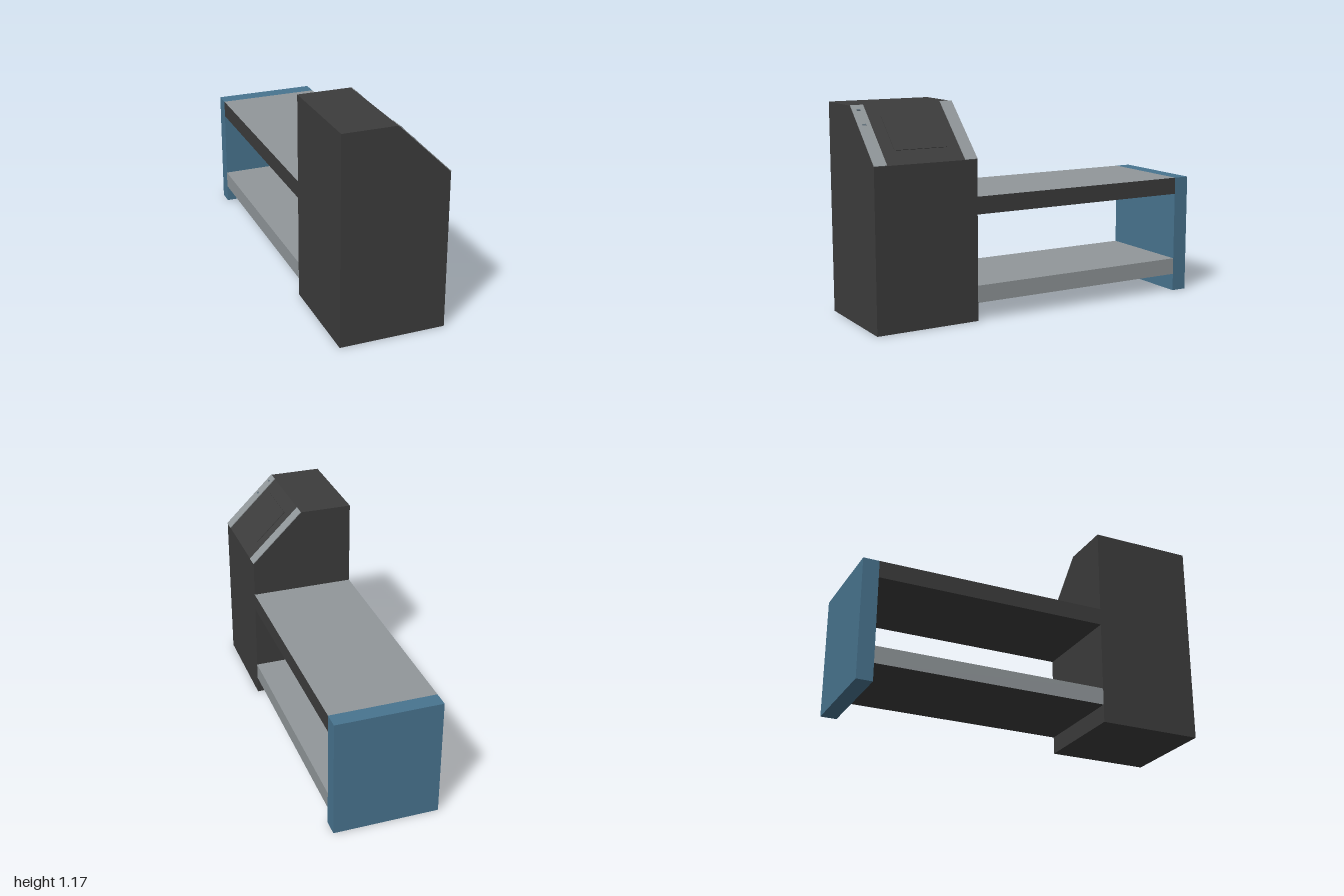
import * as THREE from 'three';

export function createModel() {
  const model = new THREE.Group();
  const mat = (name, color) => {
    const m = new THREE.MeshStandardMaterial({ color });
    m.name = name;
    return m;
  };
  const charcoal = mat('charcoal', 0x3c3c3c);
  const grey = mat('grey', 0x91979a);
  const blue = mat('blue', 0x48748f);
  const slate = mat('slate', 0x5f6e78);

  const L = -0.297, R = 0.292, TOP = 1.165, SHOULDER = 0.88;

  // Box given by its extents
  function box(name, material, [x0, x1], [y0, y1], [z0, z1], parent = model) {
    const mesh = new THREE.Mesh(new THREE.BoxGeometry(x1 - x0, y1 - y0, z1 - z0), material);
    mesh.position.set((x0 + x1) / 2, (y0 + y1) / 2, (z0 + z1) / 2);
    mesh.name = name;
    parent.add(mesh);
    return mesh;
  }

  // Cabinet with one sloping shoulder
  const profile = new THREE.Shape();
  profile.moveTo(L, 0);
  profile.lineTo(R, 0);
  profile.lineTo(R, SHOULDER);
  profile.lineTo(0, TOP);
  profile.lineTo(L, TOP);
  profile.closePath();
  const cabinet = new THREE.Mesh(
    new THREE.ExtrudeGeometry(profile, { depth: 0.59, bevelEnabled: false }), charcoal);
  cabinet.position.z = 0.41;
  cabinet.name = 'cabinet';
  model.add(cabinet);

  // Control panel: local x runs down the slope, local y points out of it
  const panel = new THREE.Group();
  panel.name = 'controlPanel';
  panel.position.set(R / 2, (TOP + SHOULDER) / 2, 0);
  panel.rotation.z = -Math.atan2(TOP - SHOULDER, R);
  model.add(panel);
  const half = Math.hypot(R, TOP - SHOULDER) / 2;
  box('backTrim', grey, [-half, half], [0, 0.004], [0.41, 0.482], panel);
  box('frontTrim', grey, [-half, half], [0, 0.004], [0.928, 1], panel);
  box('screen', charcoal, [-0.127, 0.11], [0, 0.003], [0.555, 0.855], panel);
  for (const x of [-0.168, -0.068])
    box('button', slate, [x - 0.005, x + 0.005], [0.003, 0.006], [0.955, 0.975], panel);

  // Shelves; material order: +x, -x, top, bottom, +z, -z
  box('upperShelf', [charcoal, charcoal, grey, charcoal, charcoal, charcoal],
    [L, R], [0.583, 0.679], [-0.91, 0.41]);
  box('lowerShelf', [grey, grey, grey, charcoal, grey, grey],
    [L, R], [0.1, 0.195], [-0.91, 0.41]);

  // End support
  box('endPanel', blue, [L, R], [0, 0.679], [-1, -0.91]);

  return model;
}
